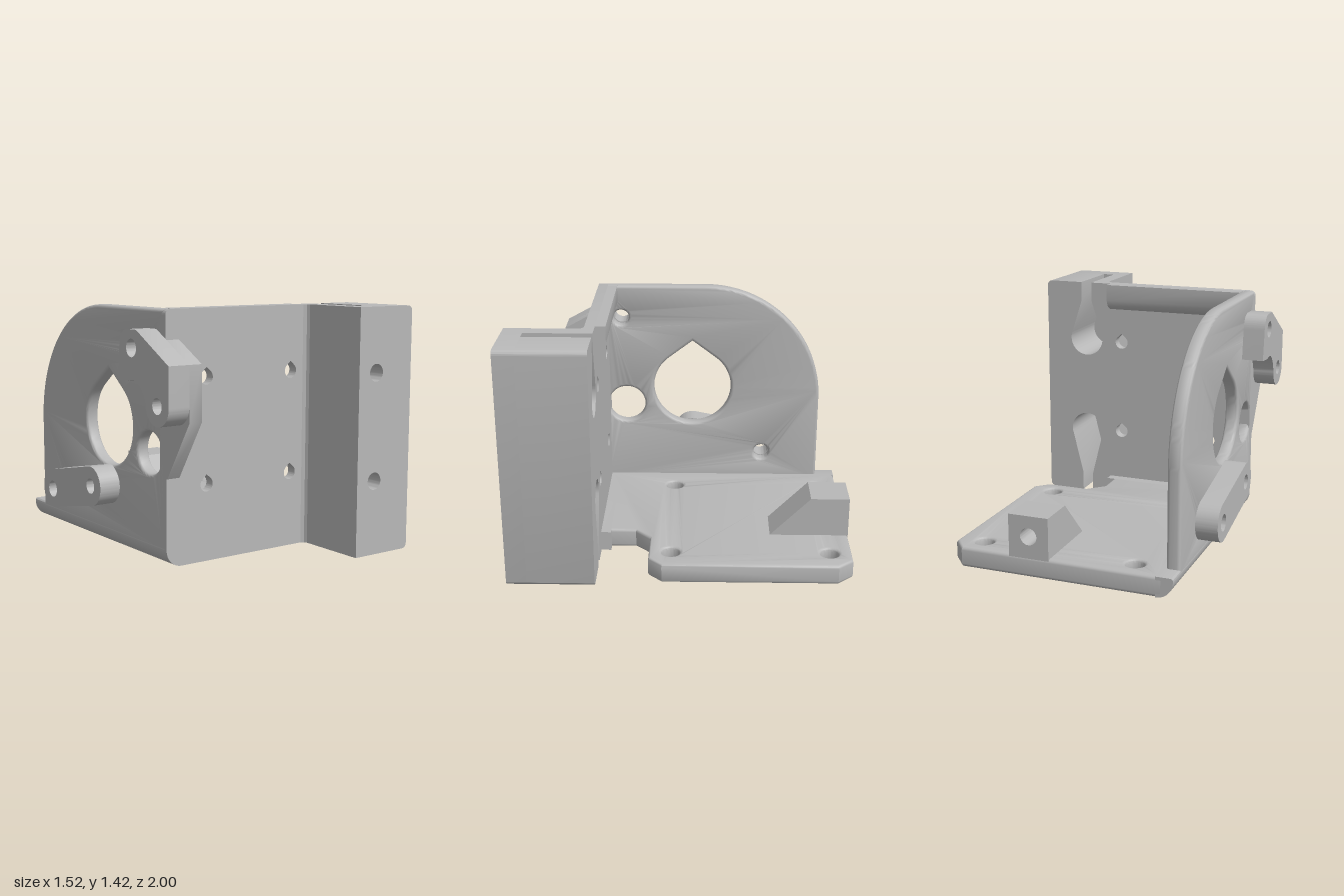
import * as THREE from 'three';
import { toCreasedNormals } from 'three/addons/utils/BufferGeometryUtils.js';

const { PI, acos, cos, sin } = Math;

// Outline from points
function poly(points) {
  return new THREE.Shape(points.map(([a, b]) => new THREE.Vector2(a, b)));
}

// Rectangle with a radius for each corner: bottom left, bottom right, top right, top left
function roundRect(x0, y0, x1, y1, bl, br, tr, tl) {
  const s = new THREE.Shape();
  s.moveTo(x0 + bl, y0);
  s.lineTo(x1 - br, y0);
  if (br) s.absarc(x1 - br, y0 + br, br, -PI / 2, 0);
  s.lineTo(x1, y1 - tr);
  if (tr) s.absarc(x1 - tr, y1 - tr, tr, 0, PI / 2);
  s.lineTo(x0 + tl, y1);
  if (tl) s.absarc(x0 + tl, y1 - tl, tl, PI / 2, PI);
  s.lineTo(x0, y0 + bl);
  if (bl) s.absarc(x0 + bl, y0 + bl, bl, PI, PI * 1.5);
  return s;
}

function drill(shape, a, b, r) {
  shape.holes.push(new THREE.Path().absarc(a, b, r, 0, PI * 2, true));
}

// Round hole with a pointed top
function drillTear(shape, a, b, r, peak) {
  const t = acos(r / peak);
  const p = new THREE.Path();
  p.moveTo(a, b + peak);
  p.absarc(a, b, r, PI / 2 + t, PI * 2.5 - t, false);
  p.lineTo(a, b + peak);
  shape.holes.push(p);
}

function extrude(shape, depth, bevel = 0) {
  return new THREE.ExtrudeGeometry(shape, {
    depth: depth - 2 * bevel, curveSegments: 24, bevelEnabled: bevel > 0,
    bevelSize: bevel, bevelThickness: bevel, bevelOffset: -bevel, bevelSegments: 4,
  }).translate(0, 0, bevel);
}
// Shape in (x, y), (z, y) or (x, z), extruded between two positions on the third axis
const alongZ = (s, z0, z1, b) => extrude(s, z1 - z0, b).translate(0, 0, z0);
const alongX = (s, x0, x1, b) => extrude(s, x1 - x0, b).rotateY(-PI / 2).translate(x1, 0, 0);
const alongY = (s, y0, y1, b) => extrude(s, y1 - y0, b).rotateX(PI / 2).translate(0, y1, 0);

export function createModel() {
  const group = new THREE.Group();
  const grey = new THREE.MeshStandardMaterial({ color: 0xb8b8b8 });
  grey.name = 'plain grey';
  const add = (name, geometry) => {
    const mesh = new THREE.Mesh(toCreasedNormals(geometry, 0.6), grey);
    mesh.name = name;
    group.add(mesh);
  };

  // Base plate with clipped corners and four screw holes
  const base = poly([[-0.56, -1], [0.63, -1], [0.71, -0.91], [0.71, 0.11], [0.63, 0.19],
    [0.37, 0.19], [0.28, 0.28], [0.28, 0.5], [-0.56, 0.5]]);
  for (const x of [-0.37, 0.55]) for (const z of [-0.87, 0.06]) drill(base, x, z, 0.053);
  add('basePlate', alongY(base, 0, 0.12, 0.02));
  add('baseRoundedEdge', alongZ(roundRect(-0.63, 0, -0.53, 0.12, 0.1, 0, 0, 0.015), -1, 0.53));
  add('baseFrontRim', new THREE.BoxGeometry(0.87, 0.12, 0.07).translate(-0.115, 0.06, 0.465));

  // Side plate with a large rounded corner
  const side = new THREE.Shape();
  side.moveTo(-0.88, 0.08);
  side.lineTo(0.53, 0.08);
  side.lineTo(0.53, 1.42);
  side.lineTo(-0.13, 1.42);
  side.absarc(-0.13, 0.67, 0.75, PI / 2, PI);
  side.lineTo(-0.88, 0.08);
  drillTear(side, -0.05, 0.74, 0.252, 0.315);
  drill(side, 0.38, 0.62, 0.12);
  drill(side, 0.41, 1.21, 0.05);
  drill(side, -0.51, 0.28, 0.05);
  add('sidePlate', alongX(side, -0.63, -0.55, 0.02));

  // Front wall with pointed holes, and the thick rim behind its top
  const wall = roundRect(-0.63, 0, 0.37, 1.42, 0.1, 0, 0, 0.03);
  for (const x of [-0.36, 0.24]) for (const y of [0.44, 1.04]) drillTear(wall, x, y, 0.042, 0.056);
  add('frontWall', alongZ(wall, 0.49, 0.55));
  add('wallTopRim', alongX(poly([[0.43, 1.42], [0.43, 1.32], [0.45, 1.28], [0.5, 1.25], [0.5, 1.42]]),
    -0.56, 0.32));
  add('wallBlockFillet', alongY(poly([[0.33, 0.549], [0.361, 0.549], [0.361, 0.58], [0.352, 0.56]]), 0, 1.42));

  // Clamp block: closed front layer
  const front = roundRect(0.36, 0, 0.76, 1.42, 0, 0.03, 0.03, 0);
  for (const y of [0.43, 1.05]) drill(front, 0.49, y, 0.05);
  add('clampFront', alongZ(front, 0.88, 1));

  // Clamp block: rear layer, with keyhole slots from both ends
  const cx = 0.485, r = 0.11, t = 0.35;
  const rear = new THREE.Shape();
  rear.moveTo(0.36, 0);
  rear.lineTo(0.45, 0);
  rear.lineTo(0.45, 0.12);
  rear.lineTo(cx - r * cos(t), 0.43 - r * sin(t));
  rear.absarc(cx, 0.43, r, PI + t, -t, true);
  rear.lineTo(0.52, 0.12);
  rear.lineTo(0.52, 0);
  rear.lineTo(0.73, 0);
  rear.absarc(0.73, 0.03, 0.03, -PI / 2, 0);
  rear.lineTo(0.76, 1.39);
  rear.absarc(0.73, 1.39, 0.03, 0, PI / 2);
  rear.lineTo(0.52, 1.42);
  rear.lineTo(0.52, 1.3);
  rear.lineTo(cx + r * cos(t), 1.05 + r * sin(t));
  rear.absarc(cx, 1.05, r, t, PI - t, true);
  rear.lineTo(0.45, 1.3);
  rear.lineTo(0.45, 1.42);
  rear.lineTo(0.36, 1.42);
  add('clampRear', alongZ(rear, 0.49, 0.88));

  // Wedge on the base, with a blind hole in its back
  const boss = roundRect(0.09, 0.11, 0.33, 0.36, 0, 0, 0, 0);
  drill(boss, 0.21, 0.24, 0.05);
  add('wedgeBack', alongZ(boss, -1, -0.77));
  add('wedgeSlope', alongX(poly([[-0.77, 0.11], [-0.52, 0.11], [-0.77, 0.36]]), 0.09, 0.33));

  // Lower arm: tilted bar with round ends
  const tilt = 0.21;
  const lower = new THREE.Shape();
  lower.absarc(-0.51, 0.285, 0.115, PI / 2 + tilt, PI * 1.5 + tilt);
  lower.absarc(-0.05, 0.375, 0.115, -PI / 2 + tilt, PI / 2 + tilt);
  drill(lower, -0.51, 0.28, 0.05);
  drill(lower, -0.05, 0.375, 0.045);
  add('lowerArm', alongX(lower, -0.76, -0.625));

  // Upper arm: bent bar reaching past the front wall
  const upper = new THREE.Shape();
  upper.moveTo(0.27, 1.04);
  upper.lineTo(0.38, 1.03);
  upper.quadraticCurveTo(0.5, 1.07, 0.55, 0.92);
  upper.absarc(0.66, 0.92, 0.11, PI, PI * 2);
  upper.lineTo(0.77, 1.14);
  upper.lineTo(0.46, 1.31);
  upper.lineTo(0.38, 1.31);
  upper.quadraticCurveTo(0.3, 1.31, 0.29, 1.22);
  drill(upper, 0.41, 1.21, 0.05);
  drill(upper, 0.66, 0.92, 0.045);
  add('upperArm', alongX(upper, -0.76, -0.63));

  // Gusset joining the upper arm to the wall corner
  const gusset = poly([[0.5, 0.5], [0.56, 0.5], [0.77, 0.83], [0.77, 1.14], [0.56, 1.255], [0.5, 1.255]]);
  drill(gusset, 0.66, 0.92, 0.045);
  add('armGusset', alongX(gusset, -0.63, -0.55));

  return group;
}
